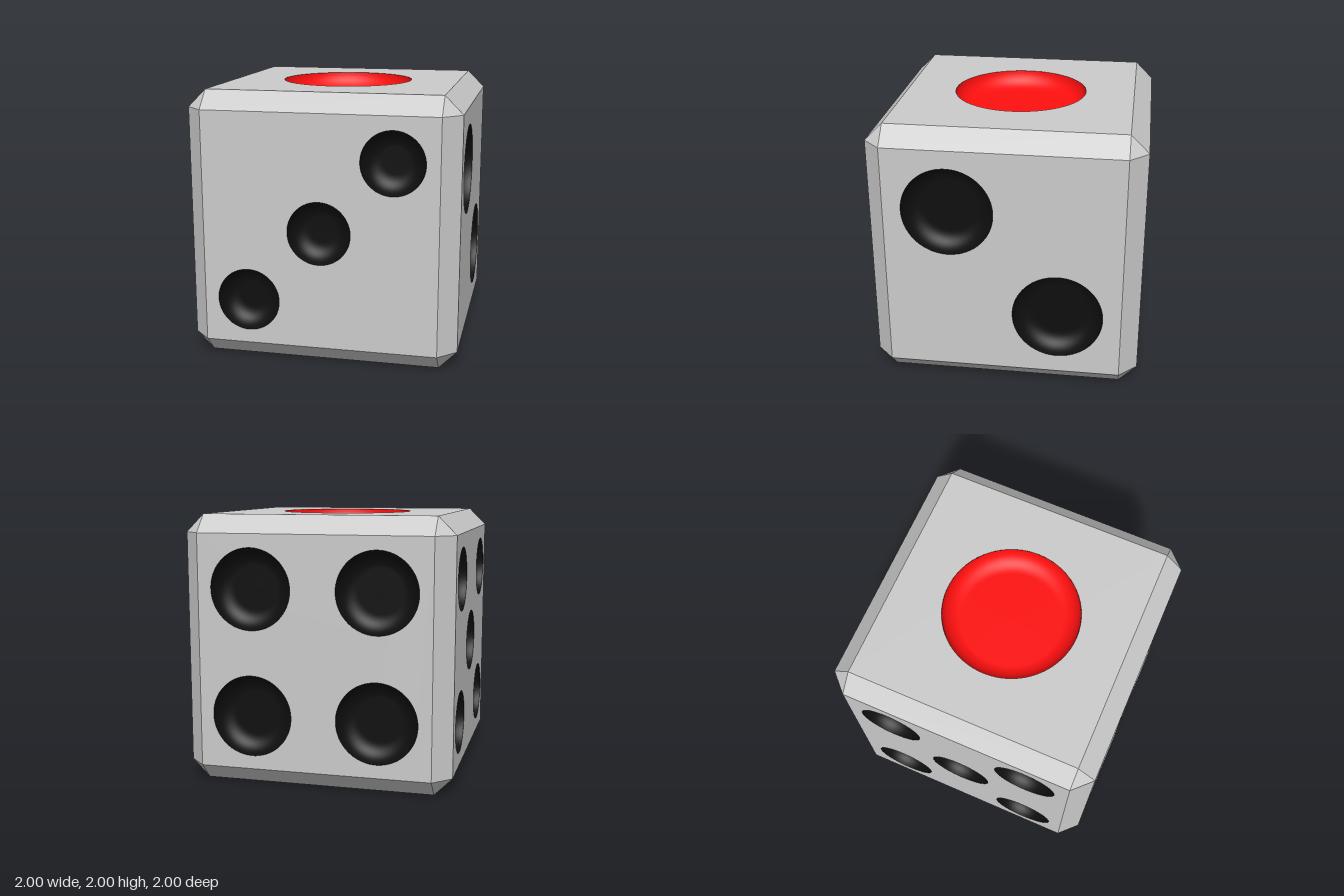
import * as THREE from 'three';

const CHAMFER = 0.133;          // also the depth of the pits
const FLAT = 1 - CHAMFER;       // half width of a flat face

const grey = new THREE.MeshStandardMaterial({ color: 0xcccccc });
const black = new THREE.MeshStandardMaterial({ color: 0x0e0e0e });
const red = new THREE.MeshStandardMaterial({ color: 0xff0f0f });

const mesh = (name, geometry, material) => {
  const m = new THREE.Mesh(geometry, material);
  m.name = name;
  return m;
};

// Round pit with a filleted wall and a flat floor, opening towards +z
function pitGeometry(radius) {
  const points = [];
  for (let i = 0; i <= 10; i++) {
    const a = (i / 10) * Math.PI / 2;
    points.push(new THREE.Vector2(radius - CHAMFER * (1 - Math.cos(a)), -CHAMFER * Math.sin(a)));
  }
  points.push(new THREE.Vector2(0, -CHAMFER));
  return new THREE.LatheGeometry(points, 64).rotateX(Math.PI / 2);
}

// Flat square with a hole and a pit for every pip
function makeFace({ name, rot, radius, pips, material = black }) {
  const face = new THREE.Group();
  face.name = name;
  const shape = new THREE.Shape([[-1, -1], [1, -1], [1, 1], [-1, 1]]
    .map(([x, y]) => new THREE.Vector2(x * FLAT, y * FLAT)));
  const pit = pitGeometry(radius);
  for (const [x, y] of pips) {
    shape.holes.push(new THREE.Path().absarc(x, y, radius, 0, Math.PI * 2, true));
    const pip = mesh('pip', pit, material);
    pip.position.set(x, y, 1);
    face.add(pip);
  }
  const panel = mesh('panel', new THREE.ShapeGeometry(shape, 64), grey);
  panel.position.z = 1;
  face.add(panel);
  face.rotation.set(rot[0], rot[1], 0);
  return face;
}

export function createModel() {
  const model = new THREE.Group();
  model.name = 'die';
  const body = new THREE.Group();
  body.name = 'dieBody';
  body.position.y = 1;
  model.add(body);

  // Six faces with their pips
  const H = Math.PI / 2;
  const corners = (d) => [[-d, -d], [d, -d], [-d, d], [d, d]];
  const faces = [
    { name: 'topFaceOne', rot: [-H, 0], radius: 0.5, pips: [[0, 0]], material: red },
    { name: 'sideFaceTwo', rot: [0, H], radius: 0.333, pips: [[-0.4, 0.4], [0.4, -0.4]] },
    { name: 'frontFaceThree', rot: [0, 0], radius: 0.233, pips: [[-0.533, -0.533], [0, 0], [0.533, 0.533]] },
    { name: 'backFaceFour', rot: [0, Math.PI], radius: 0.3, pips: corners(0.467) },
    { name: 'sideFaceFive', rot: [0, -H], radius: 0.233, pips: [...corners(0.533), [0, 0]] },
    { name: 'bottomFaceSix', rot: [H, 0], radius: 0.2,
      pips: [-0.467, 0.467].flatMap((x) => [-0.533, 0, 0.533].map((y) => [x, y])) },
  ];
  faces.forEach((f) => body.add(makeFace(f)));

  // Twelve chamfered edges: four around each axis
  for (const axis of ['X', 'Y', 'Z']) {
    for (let i = 0; i < 4; i++) {
      const strip = new THREE.PlaneGeometry(FLAT * 2, CHAMFER * Math.SQRT2);
      strip.translate(0, 0, (1 + FLAT) / Math.SQRT2).rotateX(Math.PI / 4 + i * H);
      if (axis === 'Y') strip.rotateZ(H);
      if (axis === 'Z') strip.rotateY(H);
      body.add(mesh('edgeChamfer', strip, grey));
    }
  }

  // Eight corner triangles
  for (const x of [-1, 1]) for (const y of [-1, 1]) for (const z of [-1, 1]) {
    const p = [[x, y * FLAT, z * FLAT], [x * FLAT, y, z * FLAT], [x * FLAT, y * FLAT, z]];
    if (x * y * z < 0) p.reverse();
    const g = new THREE.BufferGeometry();
    g.setAttribute('position', new THREE.Float32BufferAttribute(p.flat(), 3));
    g.computeVertexNormals();
    body.add(mesh('cornerChamfer', g, grey));
  }
  return model;
}
